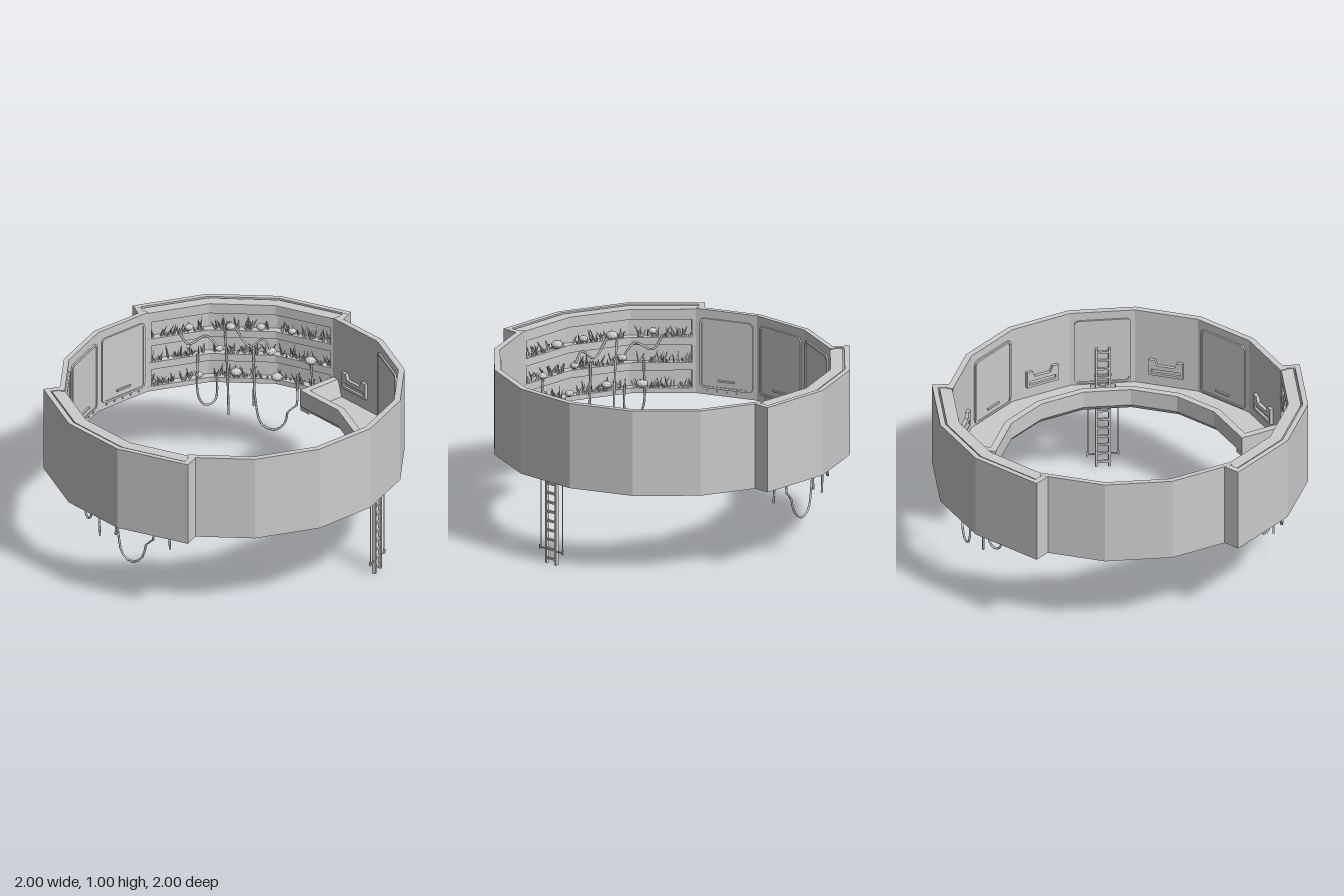
import * as THREE from 'three';
import { mergeGeometries } from 'three/addons/utils/BufferGeometryUtils.js';

const C = 0.04;                       // ring centre in x and z
const STEP = 22.5;                    // sixteen-sided ring
const TAN = Math.tan(Math.PI / 16);
const flat = new THREE.MeshStandardMaterial({ color: 0xcccccc, flatShading: true, side: THREE.DoubleSide });
const smooth = new THREE.MeshStandardMaterial({ color: 0xcccccc });

let seed = 7;
const rnd = (lo, hi) => {
  seed = (seed * 16807) % 2147483647;
  return lo + (hi - lo) * (seed / 2147483647);
};

// Point at distance a from the ring centre, shifted t along the face at this angle
function ringPoint(a, t, deg, y) {
  const r = deg * Math.PI / 180, c = Math.cos(r), s = Math.sin(r);
  return new THREE.Vector3(C + a * c - t * s, y, C + a * s + t * c);
}

// Stations of a run of faces; both ends are cut square at t = T
function station(a, y, deg, n, k, T) {
  if (k === 0) return ringPoint(a, -T, deg, y);
  if (k === n) return ringPoint(a, T, deg + STEP * (n - 1), y);
  return ringPoint(a, -a * TAN, deg + STEP * k, y);
}

// Sweep a counter-clockwise (distance, height) profile along n faces
function band(name, profile, deg, n, T) {
  const pos = [], m = profile.length;
  const at = (i, k) => station(profile[i % m][0], profile[i % m][1], deg, n, k, T);
  const tri = (...p) => p.forEach(v => pos.push(v.x, v.y, v.z));
  for (let k = 0; k < n; k++) for (let i = 0; i < m; i++) {
    tri(at(i, k), at(i + 1, k), at(i + 1, k + 1));
    tri(at(i, k), at(i + 1, k + 1), at(i, k + 1));
  }
  const caps = THREE.ShapeUtils.triangulateShape(profile.map(p => new THREE.Vector2(...p)), []);
  for (const [a, b, c] of caps) {
    tri(at(c, 0), at(b, 0), at(a, 0));
    tri(at(a, n), at(b, n), at(c, n));
  }
  const g = new THREE.BufferGeometry();
  g.setAttribute('position', new THREE.Float32BufferAttribute(pos, 3));
  g.computeVertexNormals();
  return part(name, g);
}

function part(name, geometry, material = flat) {
  const m = new THREE.Mesh(geometry, material);
  m.name = name;
  return m;
}

// Group on a face: x along the face, y up, z towards the ring centre
function faceGroup(name, deg, a) {
  const g = new THREE.Group(), r = deg * Math.PI / 180;
  g.name = name;
  g.position.copy(ringPoint(a, 0, deg, 0));
  g.rotation.y = Math.atan2(-Math.cos(r), -Math.sin(r));
  return g;
}

const shapeOf = pts => new THREE.Shape(pts.map(p => new THREE.Vector2(...p)));
const extrude = (shape, depth) => new THREE.ExtrudeGeometry(shape, { depth, bevelEnabled: false, curveSegments: 4 });
const box = (w, h, d, x, y, z) => new THREE.BoxGeometry(w, h, d).translate(x, y, z);

function roundRect(w, y0, y1, r, Type = THREE.Shape) {
  const s = new Type(), x = w / 2;
  s.moveTo(-x + r, y0).lineTo(x - r, y0).quadraticCurveTo(x, y0, x, y0 + r);
  s.lineTo(x, y1 - r).quadraticCurveTo(x, y1, x - r, y1);
  s.lineTo(-x + r, y1).quadraticCurveTo(-x, y1, -x, y1 - r);
  s.lineTo(-x, y0 + r).quadraticCurveTo(-x, y0, -x + r, y0);
  return s;
}

// Rounded wall panel with raised rim, handle and bolts
function wallPanel(deg, a) {
  const g = faceGroup('wallPanel', deg, a);
  const rim = roundRect(0.32, 0.54, 0.95, 0.03);
  rim.holes.push(roundRect(0.296, 0.552, 0.938, 0.022, THREE.Path));
  g.add(part('panelRim', extrude(rim, 0.011)));
  g.add(part('panelPlate', extrude(roundRect(0.3, 0.55, 0.94, 0.024), 0.006)));
  g.add(part('panelHandle', box(0.1, 0.01, 0.012, 0, 0.59, 0.01)));
  const bolts = [-0.12, -0.06, 0, 0.06, 0.12].map(x => box(0.008, 0.008, 0.008, x, 0.525, 0.002));
  g.add(part('panelBolts', mergeGeometries(bolts)));
  return g;
}

// Wall console with a notched top
function wallConsole(deg, a) {
  const g = faceGroup('wallConsole', deg, a);
  const half = [[0.1, 0.6], [0.1, 0.7], [0.065, 0.7], [0.05, 0.665]];
  const outline = [...half, ...half.map(([x, y]) => [-x, y]).reverse()];
  const s = shapeOf(outline);
  s.holes.push(new THREE.Path([[-0.085, 0.615], [0.085, 0.615], [0.085, 0.64], [-0.085, 0.64]].map(p => new THREE.Vector2(...p))));
  g.add(part('consoleFrame', extrude(s, 0.02)));
  g.add(part('consoleBack', extrude(shapeOf(outline), 0.006)));
  return g;
}

// Walkway: outer wall, floor with hatch, parapet and fittings
function createWalkway() {
  const g = new THREE.Group(), deg = -22.5, n = 7, T = 0.19;
  g.name = 'walkway';
  g.add(band('walkwayWall', [[0.925, 0.5], [0.96, 0.5], [0.96, 1], [0.925, 1]], deg, n, T));
  g.add(band('parapet', [[0.7, 0.5], [0.745, 0.5], [0.745, 0.53], [0.715, 0.63], [0.675, 0.63], [0.675, 0.53]], deg, n, T));
  const plan = [];
  for (let k = 0; k <= n; k++) plan.push(station(0.94, 0, deg, n, k, T));
  for (let k = n; k >= 0; k--) plan.push(station(0.71, 0, deg, n, k, T));
  const floor = shapeOf(plan.map(p => [p.x, -p.z]));
  const hatch = [[0.79, -0.07], [0.92, -0.07], [0.92, 0.07], [0.79, 0.07]].map(([a, t]) => ringPoint(a, t, 45, 0));
  floor.holes.push(new THREE.Path(hatch.map(p => new THREE.Vector2(p.x, -p.z))));
  g.add(part('floor', extrude(floor, 0.028).rotateX(-Math.PI / 2).translate(0, 0.502, 0)));
  for (const s of [-1, 1]) {
    const f = faceGroup('endParapet', 45 + s * 67.5, 0);
    const sec = [[0.19, 0.501], [0.19, 0.629], [0.15, 0.629], [0.12, 0.53], [0.12, 0.501]];
    f.add(part('endParapetWall', extrude(shapeOf(sec.map(([t, y]) => [s * t, y])), 0.25).translate(0, 0, -0.93)));
    g.add(f);
  }
  for (let k = -3; k <= 3; k++) g.add((k % 2 ? wallConsole : wallPanel)(45 + k * STEP, 0.926));
  return g;
}

// Ladder through the hatch, with a hanging line on each side
function createLadder() {
  const g = faceGroup('ladder', 45, 0.909), rails = [], rungs = [], lines = [];
  for (const s of [-1, 1]) {
    rails.push(box(0.013, 0.77, 0.02, s * 0.037, 0.385, 0));
    lines.push(new THREE.CylinderGeometry(0.003, 0.003, 0.45, 6).translate(s * 0.085, 0.305, 0));
    lines.push(box(0.05, 0.007, 0.007, s * 0.068, 0.08, 0), box(0.008, 0.025, 0.012, s * 0.088, 0.083, 0));
  }
  for (let y = 0.03; y < 0.76; y += 0.055) rungs.push(box(0.075, 0.012, 0.012, 0, y, 0));
  g.add(part('ladderRails', mergeGeometries(rails)), part('ladderRungs', mergeGeometries(rungs)));
  g.add(part('sideLines', mergeGeometries(lines)));
  return g;
}

// Planter wall with three recessed rows; mirrored swaps x and z
function createPlanter(mirrored) {
  const g = new THREE.Group(), deg = mirrored ? 135 : -90, T = 0.235;
  g.name = 'planter';
  const put = (x, y, z) => mirrored ? new THREE.Vector3(z, y, x) : new THREE.Vector3(x, y, z);
  const rows = [0.83, 0.68, 0.53];
  const profile = [[0.93, 0.5], [1.0, 0.5], [1.0, 0.995], [0.93, 0.995]];
  for (const y of rows) profile.push([0.93, y + 0.105], [0.975, y + 0.105], [0.975, y], [0.93, y]);
  g.add(band('planterShell', [[1.01, 0.5], [1.04, 0.5], [1.04, 1], [1.01, 1]], deg, 3, T));
  g.add(band('planterShelves', profile, deg, 3, 0.2));
  for (const s of [-1, 1]) {
    const f = faceGroup('planterEnd', deg + STEP + s * STEP, 0);
    f.add(part('planterEndWall', box(0.035, 0.499, 0.109, s * 0.2175, 0.75, -0.985)));
    f.add(part('planterEndPost', box(0.035, 0.49, 0.05, s * 0.178, 0.747, -0.9565)));
    g.add(f);
  }
  // Leaves sprouting along each row
  const leaves = [];
  for (let f = 0; f < 3; f++) for (const y of rows) for (let i = 0; i < 26; i++) {
    const h = rnd(0.03, 0.085);
    const leaf = new THREE.ConeGeometry(rnd(0.005, 0.01), h, 3).translate(0, h / 2, 0);
    leaf.rotateX(rnd(-0.6, 0.6)).rotateZ(rnd(-0.6, 0.6));
    const p = ringPoint(rnd(0.935, 0.96), rnd(-0.16, 0.16), deg + f * STEP, y);
    leaves.push(leaf.translate(p.x, p.y, p.z));
  }
  g.add(part('leaves', mergeGeometries(leaves)));
  // Bushy clumps spilling over the shelf edges
  const clumps = [[0.1, 0.87, -0.885], [0.16, 0.56, -0.885], [0.27, 0.72, -0.86], [0.33, 0.86, -0.835], [0.36, 0.57, -0.83],
    [0.49, 0.86, -0.775], [0.54, 0.71, -0.75], [0.57, 0.55, -0.735], [0.64, 0.86, -0.67], [0.72, 0.7, -0.59]];
  const bushes = clumps.map(([x, y, z]) => {
    const b = new THREE.IcosahedronGeometry(rnd(0.024, 0.036), 1).scale(1, 0.7, 1);
    const p = put(x, y, z);
    return b.translate(p.x, p.y, p.z);
  });
  g.add(part('bushes', mergeGeometries(bushes)));
  // Hanging vines
  const vines = [
    [[0.15, 0.7, -0.88], [0.155, 0.42, -0.875], [0.2, 0.365, -0.875], [0.25, 0.39, -0.87], [0.26, 0.56, -0.865]],
    [[0.3, 0.85, -0.85], [0.315, 0.55, -0.845], [0.32, 0.3, -0.84]],
    [[0.45, 0.72, -0.79], [0.46, 0.39, -0.78], [0.49, 0.25, -0.76], [0.55, 0.225, -0.72], [0.6, 0.28, -0.68], [0.615, 0.37, -0.66], [0.65, 0.39, -0.64], [0.66, 0.56, -0.64]],
    [[0.455, 0.6, -0.785], [0.45, 0.36, -0.79]],
    [[0.72, 0.7, -0.58], [0.73, 0.5, -0.57], [0.735, 0.37, -0.565]],
    [[0.04, 0.85, -0.885], [0.1, 0.76, -0.89], [0.2, 0.8, -0.88], [0.27, 0.72, -0.86]],
    [[0.35, 0.86, -0.83], [0.43, 0.74, -0.79], [0.5, 0.79, -0.76], [0.54, 0.71, -0.74]],
  ].map(v => {
    const curve = new THREE.CatmullRomCurve3(v.map(p => put(...p)));
    return new THREE.TubeGeometry(curve, 24, 0.0065, 6);
  });
  g.add(part('vines', mergeGeometries(vines), smooth));
  return g;
}

export function createModel() {
  const model = new THREE.Group();
  model.name = 'ringStation';
  model.add(createWalkway(), createLadder(), createPlanter(false), createPlanter(true));
  // Thin panelled wall between the planters
  model.add(band('panelWall', [[0.93, 0.5], [0.96, 0.5], [0.96, 1], [0.93, 1]], 202.5, 3, 0.19));
  for (let k = 0; k < 3; k++) model.add(wallPanel(202.5 + k * STEP, 0.931));
  return model;
}
